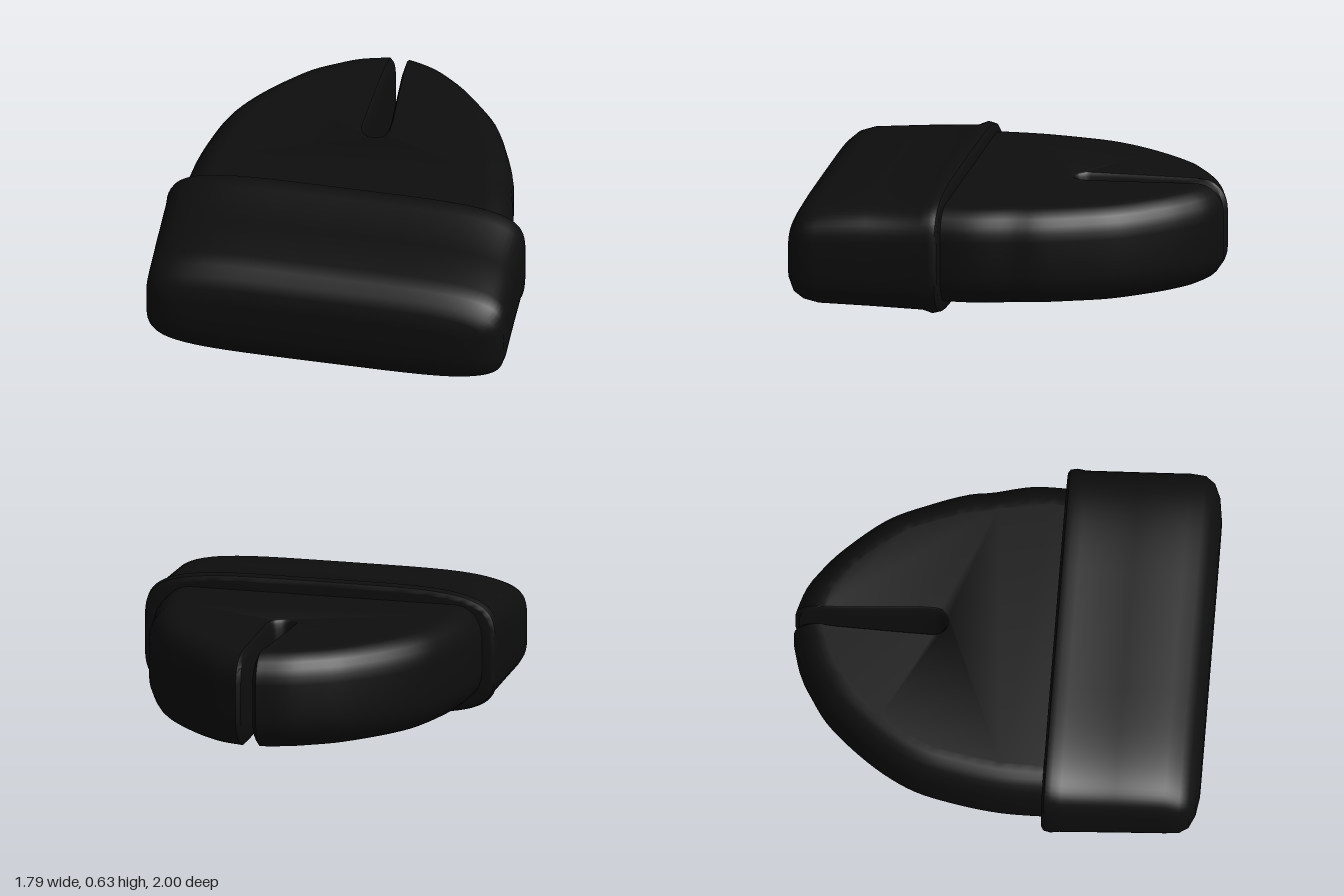
import * as THREE from 'three';
import { toCreasedNormals } from 'three/addons/utils/BufferGeometryUtils.js';

// Skin over a stack of equal-length rings, closed at both ends.
// flatten maps a ring point to the plane in which it runs counter-clockwise.
function skin(rings, flatten) {
  const n = rings[0].length, last = (rings.length - 1) * n, index = [];
  for (let r = 0; r < rings.length - 1; r++) {
    for (let i = 0; i < n; i++) {
      const a = r * n + i, b = r * n + (i + 1) % n;
      index.push(a, b, b + n, a, b + n, a + n);
    }
  }
  const caps = (ring, add) => {
    for (const [a, b, c] of THREE.ShapeUtils.triangulateShape(ring.map(flatten), [])) add(a, b, c);
  };
  caps(rings[0], (a, b, c) => index.push(a, c, b));
  caps(rings[rings.length - 1], (a, b, c) => index.push(last + a, last + b, last + c));
  const geo = new THREE.BufferGeometry().setFromPoints(rings.flat());
  geo.setIndex(index);
  return toCreasedNormals(geo, 0.75);
}

// Domed, slotted body: outline in plan, rounded along its outer rim
function bodyGeometry() {
  const side = (pts) => new THREE.SplineCurve(pts.map(([x, z]) => new THREE.Vector2(x, z)))
    .getSpacedPoints(36)
    .map((p) => {
      const d = new THREE.Vector2(-p.x, -Math.min(p.y, 0)).normalize();
      return { x: p.x, z: p.y, dx: d.x, dz: d.y };
    });
  const right = side([[0.765, 0.32], [0.765, 0.1], [0.72, -0.1], [0.7, -0.22], [0.635, -0.4],
    [0.54, -0.6], [0.37, -0.8], [0.24, -0.91], [0.15, -0.965], [0.04, -1]]);
  const left = side([[-0.825, 0.32], [-0.825, 0.05], [-0.79, -0.2], [-0.735, -0.4], [-0.62, -0.6],
    [-0.45, -0.8], [-0.31, -0.9], [-0.2, -0.96], [-0.06, -1]]).reverse();

  // Slot walls run in from the mouth and round its closed end
  const slot = [
    { x: 0.02, z: -0.98, dx: 0.15, dz: 1 },
    { x: 0.02, z: -0.8, dx: 0.15, dz: 0 },
    { x: 0.035, z: -0.6, dx: 0.15, dz: 0 },
    { x: 0.05, z: -0.4, dx: 0.15, dz: 0 },
  ];
  for (let i = 0; i <= 8; i++) {
    const a = (i / 8) * Math.PI;
    slot.push({
      x: 0.05 * Math.cos(a), z: -0.33 + 0.05 * Math.sin(a),
      dx: 0.15 * Math.cos(a), dz: 0.2 * Math.sin(a),
    });
  }
  slot.push(
    { x: -0.048, z: -0.5, dx: -0.15, dz: 0 },
    { x: -0.042, z: -0.8, dx: -0.15, dz: 0 },
    { x: -0.038, z: -0.98, dx: -0.15, dz: 1 },
  );
  const outline = [...right, ...slot, ...left];

  const levels = [], steps = 6, inset = 0.13, rise = 0.15;
  for (let i = 0; i <= steps; i++) {
    const a = (i / steps) * Math.PI / 2;
    levels.push([inset * (1 - Math.sin(a)), 0.08 + rise * (1 - Math.cos(a))]);
  }
  const upper = levels.map(([d, y]) => [d, 0.635 - y]).reverse();
  const rings = [...levels, ...upper].map(([d, y]) =>
    outline.map((p) => new THREE.Vector3(p.x + p.dx * d, y, p.z + p.dz * d)));
  return skin(rings, (p) => new THREE.Vector2(p.x, -p.z));
}

// Broad front sleeve: rounded-rectangle sections along z, flared at the rear lip
function sleeveGeometry() {
  const sections = [ // z, centre x, half width, centre y, half height
    [0.25, -0.015, 0.86, 0.315, 0.285],
    [0.262, -0.015, 0.875, 0.315, 0.306],
    [0.295, -0.015, 0.88, 0.315, 0.315],
    [0.34, -0.014, 0.877, 0.313, 0.297],
    [0.6, 0, 0.877, 0.312, 0.285],
    [0.84, 0.014, 0.878, 0.308, 0.272],
    [0.91, 0.015, 0.876, 0.305, 0.25],
    [0.955, 0.014, 0.85, 0.3, 0.215],
    [0.985, 0.01, 0.79, 0.3, 0.165],
    [1, 0, 0.7, 0.3, 0.09],
  ];
  const n = 72, power = 2 / 4.6;
  const bend = (v) => Math.sign(v) * Math.abs(v) ** power;
  const rings = sections.map(([z, cx, hw, cy, hh]) => Array.from({ length: n }, (_, i) => {
    const a = (i / n) * Math.PI * 2;
    return new THREE.Vector3(cx + hw * bend(Math.cos(a)), cy + hh * bend(Math.sin(a)), z);
  }));
  return skin(rings, (p) => new THREE.Vector2(p.x, p.y));
}

export function createModel() {
  const black = new THREE.MeshStandardMaterial({ color: 0x0e0e0e });
  black.name = 'black';
  const model = new THREE.Group();
  model.name = 'slottedCap';
  const add = (name, geometry) => {
    const mesh = new THREE.Mesh(geometry, black);
    mesh.name = name;
    model.add(mesh);
  };
  add('slottedBody', bodyGeometry());
  add('frontSleeve', sleeveGeometry());
  return model;
}
